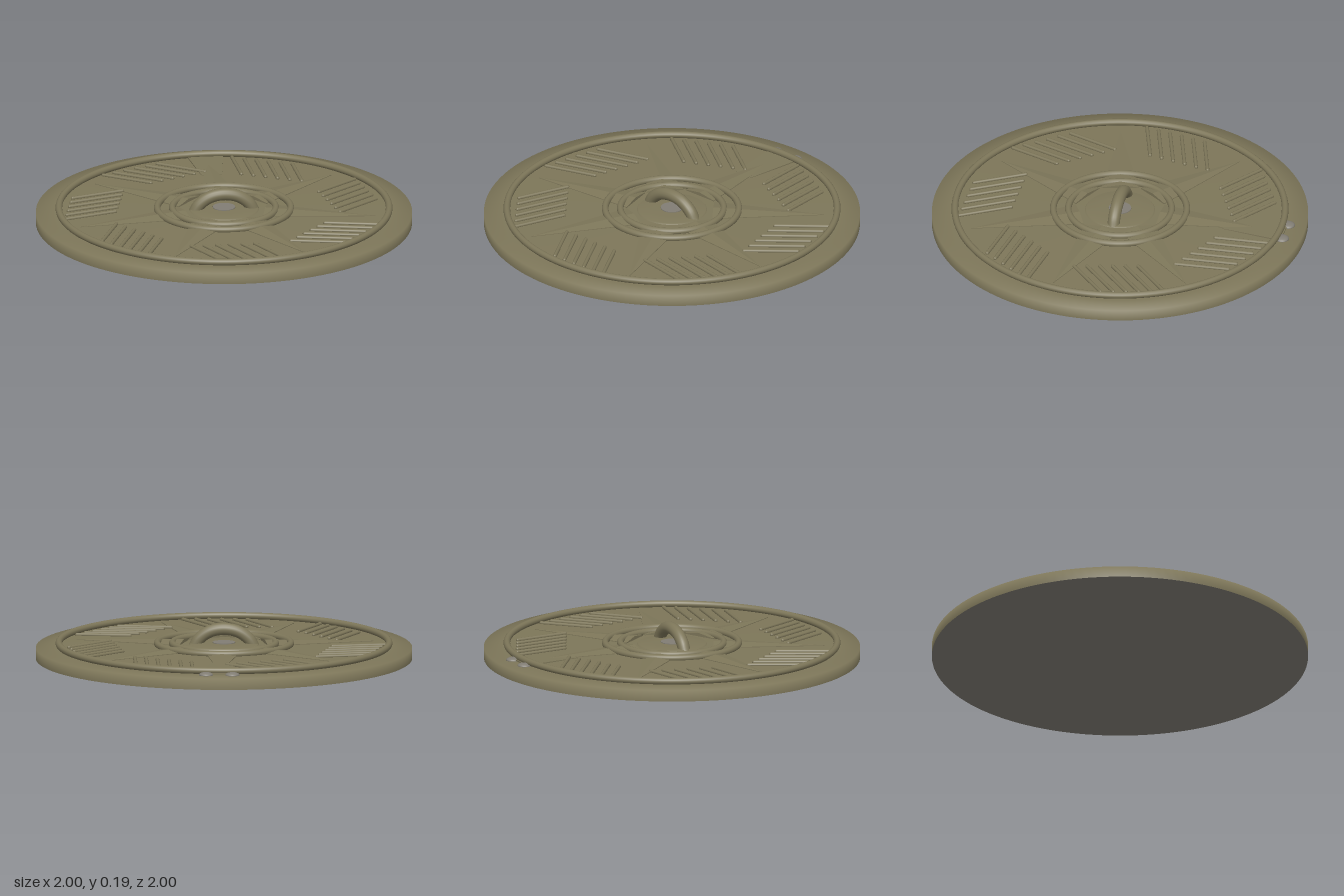
import * as THREE from 'three';

export function createModel() {
  const olive = new THREE.MeshStandardMaterial({ color: 0x7d7659 });
  olive.name = 'olive bronze';
  const grey = new THREE.MeshStandardMaterial({ color: 0x817d74 });
  grey.name = 'warm grey';

  const root = new THREE.Group();
  root.name = 'ornamentDisc';
  const add = (name, geometry, material = olive, parent = root) => {
    const mesh = new THREE.Mesh(geometry, material);
    mesh.name = name;
    parent.add(mesh);
    return mesh;
  };
  const lathe = (pts, seg = 128) =>
    new THREE.LatheGeometry(pts.map(([r, y]) => new THREE.Vector2(r, y)), seg);
  // Height of the gently raised face at a given radius
  const faceY = (r) => 0.078 - 0.0155 * r;

  // Body, with smooth normals rolling over the rim
  add('body', lathe([[1, 0], [1, 0.06], [0.9, faceY(0.9)], [0.45, faceY(0.45)], [0, faceY(0)]]));
  add('underside', new THREE.CircleGeometry(1, 128).rotateX(Math.PI / 2), grey);

  // Raised rings
  const ring = (name, radius, tube, y) => {
    const g = new THREE.TorusGeometry(radius, tube, 12, 128).rotateX(Math.PI / 2);
    add(name, g).position.y = y;
  };
  ring('rimRing', 0.878, 0.018, 0.082);
  ring('outerCentreRing', 0.355, 0.018, 0.082);
  ring('innerCentreRing', 0.275, 0.018, 0.082);

  // Central boss with a small stud
  add('boss', lathe([[0.19, 0.07], [0.18, 0.082], [0.1, 0.085], [0, 0.086]], 64));
  add('bossStud', new THREE.CylinderGeometry(0.06, 0.06, 0.006, 32), grey).position.y = 0.086;

  // Arched handle
  const arch = new THREE.CatmullRomCurve3(
    [[-0.158, 0.06], [-0.132, 0.105], [-0.075, 0.145], [0, 0.159],
      [0.075, 0.145], [0.132, 0.105], [0.158, 0.06]].map(([x, y]) => new THREE.Vector3(x, y, 0)));
  add('handle', new THREE.TubeGeometry(arch, 40, 0.033, 16));

  // One ridged star point, aimed toward -z
  const y0 = faceY(0.22) + 0.004;
  const L = [-0.1, y0, -0.22], R = [0.1, y0, -0.22];
  const C = [0, y0 + 0.015, -0.22], T = [0, faceY(0.81) + 0.003, -0.81];
  const Lb = [-0.1, 0.06, -0.22], Rb = [0.1, 0.06, -0.22], Tb = [0, 0.06, -0.81];
  const corners = [L, C, T, C, R, T, L, R, C, Lb, Rb, R, Lb, R, L, Lb, L, T, Lb, T, Tb, R, Rb, Tb, R, Tb, T];
  const spike = new THREE.BufferGeometry();
  spike.setAttribute('position', new THREE.Float32BufferAttribute(corners.flat(), 3));
  spike.computeVertexNormals();

  // Slanted bars of one hatched patch, centred on +z
  const up = new THREE.Vector3(0, 1, 0);
  const bars = [];
  for (let i = 0; i < 6; i++) {
    const x = -0.24 + i * 0.068;
    const at = (px, pz) => new THREE.Vector3(px, faceY(Math.hypot(px, pz)) + 0.004, pz);
    const a = at(x, 0.57), b = at(x + 0.14, 0.82);
    const dir = b.clone().sub(a);
    const g = new THREE.CapsuleGeometry(0.01, dir.length(), 4, 10);
    g.applyQuaternion(new THREE.Quaternion().setFromUnitVectors(up, dir.normalize()));
    const mid = a.add(b).multiplyScalar(0.5);
    bars.push(g.translate(mid.x, mid.y, mid.z));
  }

  // Seven star points alternating with seven hatched patches
  for (let k = 0; k < 7; k++) {
    const sector = new THREE.Group();
    sector.name = 'sector';
    sector.rotation.y = (k * Math.PI * 2) / 7;
    add('starPoint', spike, olive, sector);
    bars.forEach((g) => add('hatchBar', g, olive, sector));
    root.add(sector);
  }

  // Thin tapered plate and two rivets at the back of the rim
  const plate = new THREE.Shape([[-0.1, 0.9], [0.1, 0.9], [0.055, 0.57], [-0.055, 0.57]]
    .map(([x, y]) => new THREE.Vector2(x, y)));
  const plateGeo = new THREE.ExtrudeGeometry(plate, { depth: 0.006, bevelEnabled: false });
  add('backPlate', plateGeo.rotateX(-Math.PI / 2)).position.y = 0.066;
  for (const s of [-1, 1]) {
    const rivet = add('rivet', new THREE.SphereGeometry(0.038, 20, 12), grey);
    rivet.scale.y = 0.4;
    rivet.position.set(s * 0.07, 0.064, -0.9);
  }
  return root;
}
